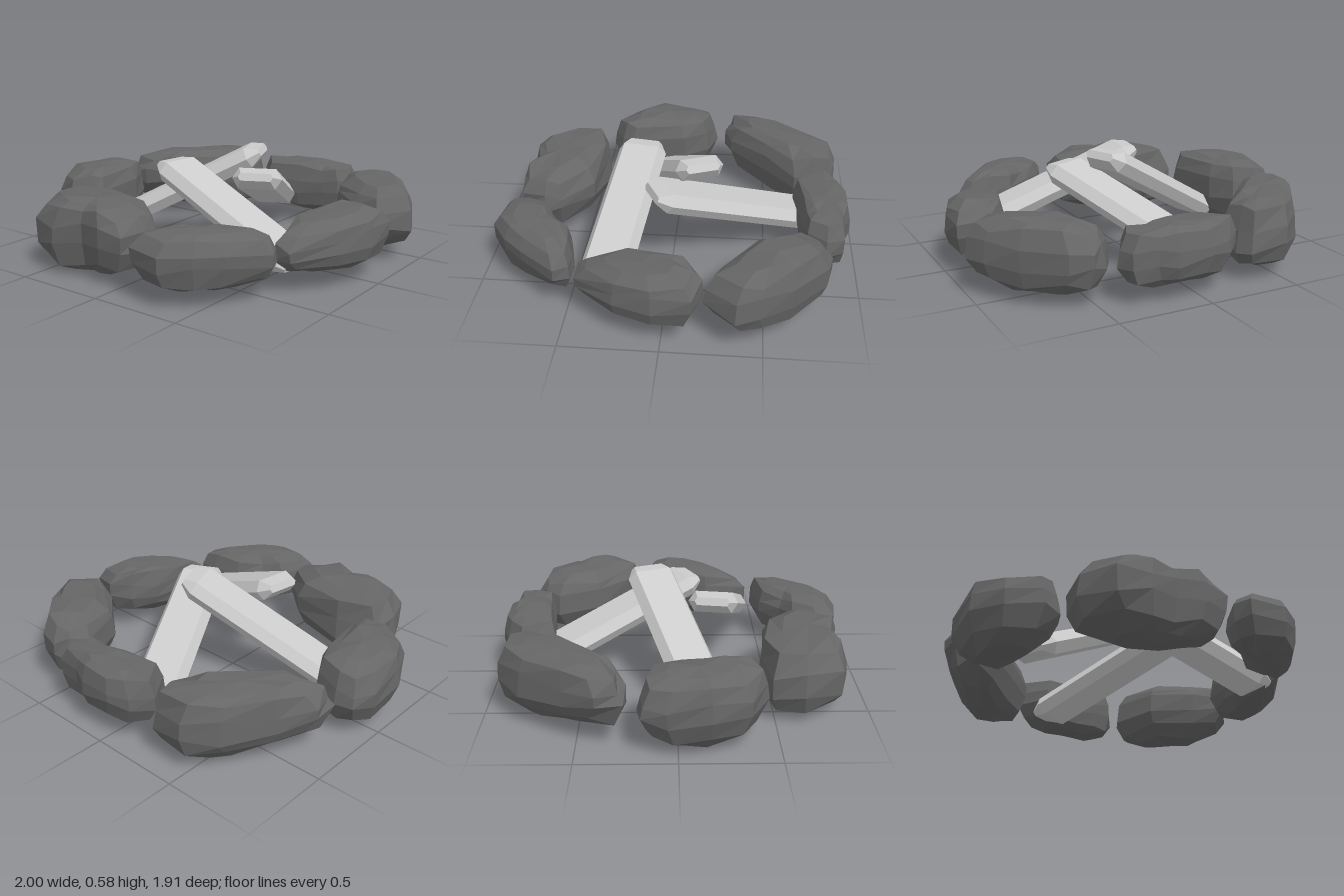
import * as THREE from 'three';

const stoneMaterial = new THREE.MeshStandardMaterial({ color: 0x666666, flatShading: true });
const logMaterial = new THREE.MeshStandardMaterial({ color: 0xcccccc, flatShading: true });

// Stone cross-sections from bottom to top: height fraction, outline scale
const rings = [[0.05, 0.5], [0.2, 0.86], [0.44, 1], [0.68, 0.98], [0.88, 0.85], [0.98, 0.55]];

// Repeatable noise in -1..1
function noise(a, b, seed) {
  const s = Math.sin(a * 12.99 + b * 78.23 + seed * 37.7) * 4375.85;
  return (s - Math.floor(s)) * 2 - 1;
}

// Rough boulder lofted from its plan outline (x, z pairs) between two heights;
// under and over are the slopes of its bottom and top along x and z
function makeStone(name, seed, [bottom, top], outline, under = [0, 0], over = [0, 0]) {
  const n = outline.length;
  const cx = outline.reduce((sum, p) => sum + p[0], 0) / n;
  const cz = outline.reduce((sum, p) => sum + p[1], 0) / n;
  const positions = [];
  const indices = [];
  rings.forEach(([h, scale], j) => {
    outline.forEach(([x, z], i) => {
      const s = scale === 1 ? 1 : scale * (1 + 0.06 * noise(i, j, seed));
      const rough = j > 0 && j < rings.length - 1 ? 0.07 : 0.03;
      const dx = (x - cx) * s;
      const dz = (z - cz) * s;
      const slope = THREE.MathUtils.lerp(under[0] * dx + under[1] * dz, over[0] * dx + over[1] * dz, h);
      const y = bottom + (top - bottom) * (h + rough * noise(j, i, seed + 5)) + slope;
      positions.push(cx + dx, y, cz + dz);
    });
  });
  for (let j = 0; j < rings.length - 1; j++) {
    for (let i = 0; i < n; i++) {
      const a = j * n + i;
      const b = j * n + (i + 1) % n;
      indices.push(a, a + n, b, b, a + n, b + n);
    }
  }
  // Close the underside and the top
  const last = (rings.length - 1) * n;
  const base = rings.length * n;
  positions.push(cx, bottom, cz, cx, top, cz);
  for (let i = 0; i < n; i++) {
    const k = (i + 1) % n;
    indices.push(base, i, k, base + 1, last + k, last + i);
  }
  const geometry = new THREE.BufferGeometry();
  geometry.setAttribute('position', new THREE.Float32BufferAttribute(positions, 3));
  geometry.setIndex(indices);
  geometry.computeVertexNormals();
  const mesh = new THREE.Mesh(geometry, stoneMaterial);
  mesh.name = name;
  return mesh;
}

// Flattened six-sided log with bevelled ends, from its low end to its raised end
function makeLog(name, low, high) {
  const a = new THREE.Vector3(...low);
  const b = new THREE.Vector3(...high);
  const bevel = 0.07;
  const section = new THREE.Shape([
    [0.135, 0], [0.1, 0.056], [-0.1, 0.056], [-0.135, 0], [-0.1, -0.056], [0.1, -0.056],
  ].map(([x, y]) => new THREE.Vector2(x, y)));
  const geometry = new THREE.ExtrudeGeometry(section, {
    depth: a.distanceTo(b) - 2 * bevel,
    bevelThickness: bevel,
    bevelSize: 0.035,
    bevelOffset: -0.035,
    bevelSegments: 1,
  });
  geometry.translate(0, 0, bevel);
  const mesh = new THREE.Mesh(geometry, logMaterial);
  mesh.position.copy(a);
  mesh.lookAt(b);
  mesh.name = name;
  return mesh;
}

export function createModel() {
  const group = new THREE.Group();
  group.name = 'campfire';

  // Ring of stones
  group.add(
    makeStone('backLeftStone', 1, [0.05, 0.42], [
      [-0.9, -0.26], [-0.9, -0.4], [-0.8, -0.56], [-0.64, -0.8], [-0.49, -0.92], [-0.29, -0.9],
      [-0.25, -0.82], [-0.27, -0.67], [-0.44, -0.5], [-0.65, -0.29], [-0.77, -0.25]], [-0.08, 0.08]),
    makeStone('backStone', 2, [0.08, 0.39], [
      [-0.24, -0.83], [-0.15, -0.92], [-0.03, -0.96], [0.16, -0.96], [0.25, -0.92], [0.38, -0.91],
      [0.42, -0.82], [0.35, -0.72], [0.25, -0.7], [0.09, -0.68], [-0.13, -0.66]]),
    makeStone('backRightStone', 3, [0.05, 0.42], [
      [0.4, -0.7], [0.46, -0.8], [0.54, -0.84], [0.66, -0.81], [0.83, -0.64],
      [0.95, -0.48], [1, -0.36], [0.87, -0.2], [0.7, -0.29], [0.49, -0.45]]),
    makeStone('rightStone', 4, [0.08, 0.38], [
      [0.71, -0.13], [0.82, -0.2], [0.97, -0.15], [0.98, 0.04], [0.91, 0.24],
      [0.75, 0.44], [0.66, 0.44], [0.61, 0.2], [0.66, 0.02]], [0, 0], [0, -0.12]),
    makeStone('frontRightStone', 5, [0.07, 0.37], [
      [0.13, 0.81], [0.18, 0.68], [0.3, 0.62], [0.43, 0.51], [0.6, 0.47], [0.7, 0.48],
      [0.73, 0.56], [0.59, 0.75], [0.49, 0.86], [0.35, 0.95], [0.16, 0.91]]),
    makeStone('frontLeftStone', 6, [0.01, 0.41], [
      [-0.67, 0.64], [-0.63, 0.48], [-0.41, 0.42], [-0.09, 0.48], [0.09, 0.64],
      [0.11, 0.73], [0.04, 0.86], [-0.09, 0.88], [-0.24, 0.84], [-0.41, 0.89], [-0.57, 0.84]], [0.1, 0]),
    makeStone('leftStone', 7, [0.02, 0.42], [
      [-0.99, -0.05], [-0.95, -0.18], [-0.85, -0.2], [-0.7, -0.15], [-0.63, 0],
      [-0.59, 0.32], [-0.62, 0.4], [-0.73, 0.45], [-0.9, 0.35], [-1, 0.16]]),
  );

  // Logs leaning on each other in the middle
  group.add(
    makeLog('backLog', [-0.11, 0.14, -0.75], [0.31, 0.48, 0.1]),
    makeLog('leftLog', [-0.68, 0.08, 0.18], [0.18, 0.57, -0.16]),
    makeLog('rightLog', [0.72, 0.14, 0.33], [-0.2, 0.51, 0.19]),
  );
  return group;
}
